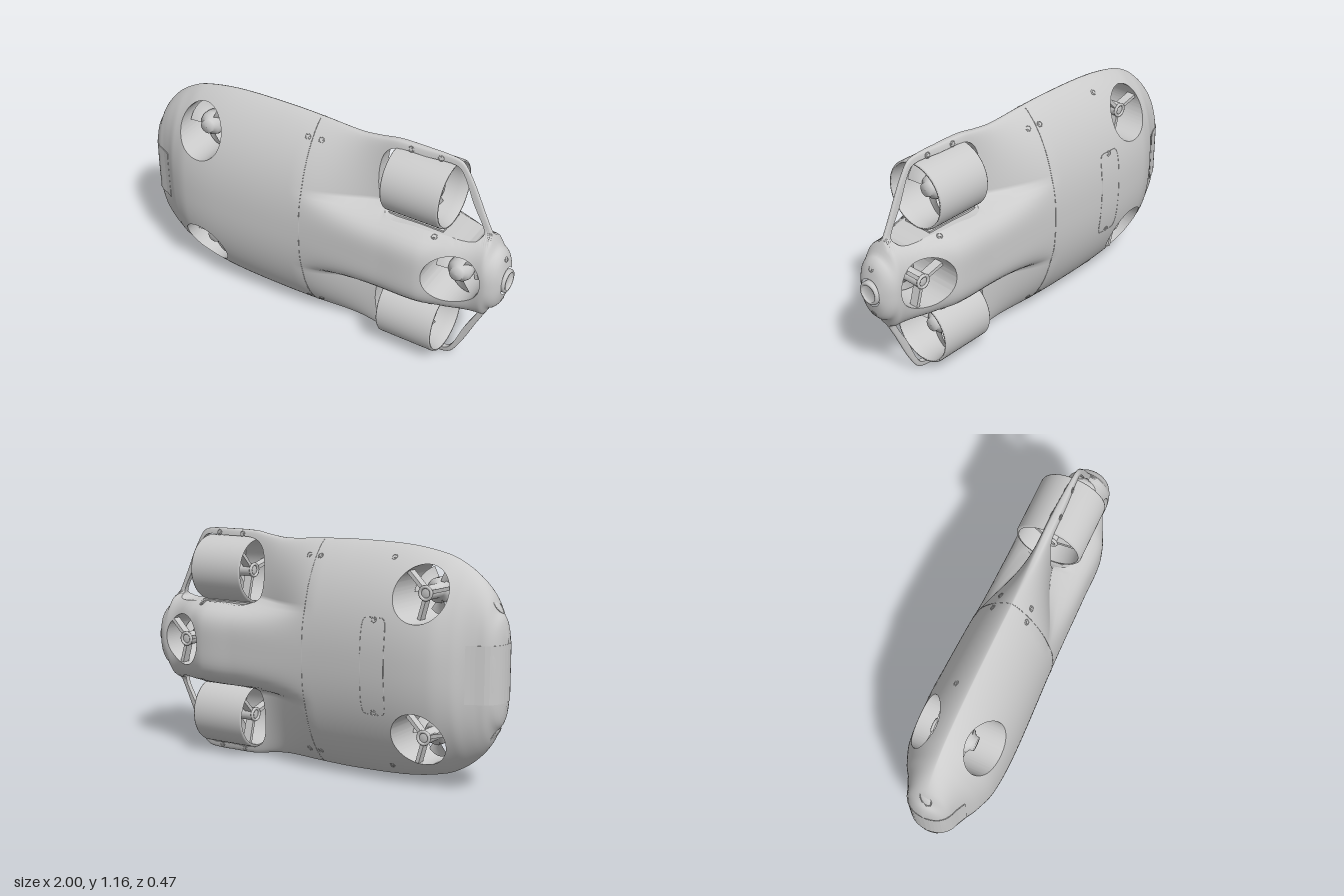
import * as THREE from 'three';
import { mergeVertices } from 'three/addons/utils/BufferGeometryUtils.js';

const CY = 0.58; // centre line height
const grey = new THREE.MeshStandardMaterial({ color: 0xcccccc });
const thin = new THREE.MeshStandardMaterial({ color: 0xcccccc, side: THREE.DoubleSide });
const V = (x, y, z) => new THREE.Vector3(x, y, z);
const V2 = ([x, y]) => new THREE.Vector2(x, y);
const { lerp, smoothstep, clamp } = THREE.MathUtils;

// Smooth curve through [x, value] pairs; squared values give rounded ends
function profile(pts) {
  const p = pts.map(([x, v]) => [x, v * v]), n = p.length - 1;
  const slope = (i) => {
    const a = p[Math.max(i - 1, 0)], b = p[Math.min(i + 1, n)];
    return (b[1] - a[1]) / (b[0] - a[0]);
  };
  return (x) => {
    let i = 0;
    while (i < n - 1 && x > p[i + 1][0]) i++;
    const w = p[i + 1][0] - p[i][0], t = (x - p[i][0]) / w, t2 = t * t, t3 = t2 * t;
    const v = (2 * t3 - 3 * t2 + 1) * p[i][1] + (t3 - 2 * t2 + t) * w * slope(i)
      + (3 * t2 - 2 * t3) * p[i + 1][1] + (t3 - t2) * w * slope(i + 1);
    return Math.sqrt(Math.max(v, 0));
  };
}
const halfHeight = profile([[-1, 0.15], [-0.985, 0.235], [-0.955, 0.285], [-0.93, 0.345], [-0.88, 0.41], [-0.8, 0.474],
  [-0.7, 0.52], [-0.5, 0.555], [-0.2, 0.565], [0, 0.56], [0.2, 0.55], [0.3, 0.56], [0.4, 0.577], [0.55, 0.58],
  [0.68, 0.578], [0.73, 0.56], [0.77, 0.5], [0.85, 0.33], [0.92, 0.185], [0.95, 0.158], [0.97, 0.13], [0.985, 0.07]]);
const halfDepth = profile([[-1, 0], [-0.99, 0.055], [-0.97, 0.09], [-0.94, 0.112], [-0.9, 0.128], [-0.85, 0.155], [-0.8, 0.188],
  [-0.7, 0.224], [-0.5, 0.236], [0, 0.218], [0.4, 0.208], [0.6, 0.206], [0.7, 0.172], [0.8, 0.13], [0.85, 0.115],
  [0.92, 0.113], [0.95, 0.1], [0.97, 0.08], [0.985, 0.055]]);

// Half thickness of the hull: an oval that turns into a spine with thin side rims
function hullZ(x, y) {
  const W = halfHeight(x), T = halfDepth(x), d = Math.abs(y - CY), u = Math.min(d / W, 1);
  const nose = 1 - smoothstep(x, -0.98, -0.75);
  const oval = T * (1 - u ** (2.3 + nose)) ** (0.75 - 0.25 * nose);
  const boxy = 4 - 1.5 * smoothstep(x, 0.72, 0.92);
  const spine = T * Math.sqrt(Math.max(0, 1 - (d / Math.min(0.225, W)) ** boxy));
  const rim = lerp(0.044, 0.017, smoothstep(x, 0.45, 0.82)) * (1 - u * u) ** 0.25;
  return lerp(oval, Math.hypot(spine, rim), smoothstep(x, -0.08, 0.4));
}

// Openings: three round tunnels and a rounded window around each duct
const tunnels = [[-0.63, CY + 0.345], [-0.63, CY - 0.335], [0.77, CY + 0.005]];
const windowLoop = new THREE.CatmullRomCurve3([[0.4, 0.79], [0.35, 0.82], [0.325, 0.88], [0.325, 1.03], [0.35, 1.09],
  [0.4, 1.12], [0.55, 1.125], [0.7, 1.125], [0.73, 1.1], [0.795, 0.95], [0.86, 0.81], [0.84, 0.785], [0.7, 0.788], [0.55, 0.79]]
  .map(([x, y]) => V(x, y - CY, 0)), true, 'centripetal').getPoints(56);

function clearance(x, y) { // positive where the hull is solid
  let f = Infinity;
  for (const [cx, cy] of tunnels) f = Math.min(f, Math.hypot(x - cx, y - cy) - 0.132);
  if (x < 0.25) return f;
  const d = Math.abs(y - CY);
  let dist = Infinity, inside = false;
  for (let i = 0; i < windowLoop.length - 1; i++) {
    const a = windowLoop[i], b = windowLoop[i + 1], ex = b.x - a.x, ey = b.y - a.y;
    const t = clamp(((x - a.x) * ex + (d - a.y) * ey) / (ex * ex + ey * ey || 1), 0, 1);
    dist = Math.min(dist, Math.hypot(x - a.x - t * ex, d - a.y - t * ey));
    if ((a.y > d) !== (b.y > d) && x < a.x + ((d - a.y) / ey) * ex) inside = !inside;
  }
  return Math.min(f, inside ? -dist : dist);
}

function smoothGeometry(pos) {
  let g = new THREE.BufferGeometry();
  g.setAttribute('position', new THREE.Float32BufferAttribute(pos, 3));
  g = mergeVertices(g, 1e-4);
  g.computeVertexNormals();
  return g;
}

// Hull skin as section loops, trimmed at the openings, and the walls joining both sides
function buildHull() {
  const NX = 170, NT = 80, grid = [], skin = [], walls = [];
  for (let i = 0; i <= NX; i++) {
    const t = i / NX, x = -0.0075 + 0.9925 * (0.65 * (2 * t - 1) - 0.35 * Math.cos(Math.PI * t));
    const row = [];
    for (let j = 0; j <= NT; j++) {
      const y = CY + halfHeight(x) * Math.cos((Math.PI * j) / NT);
      row.push({ x, y, z: j % NT ? hullZ(x, y) : 0, f: clearance(x, y) });
    }
    grid.push(row);
  }
  const cross = (a, b) => {
    let lo = a.f > 0 ? a : b, hi = a.f > 0 ? b : a;
    for (let k = 0; k < 12; k++) {
      const x = (lo.x + hi.x) / 2, y = (lo.y + hi.y) / 2, m = { x, y, f: clearance(x, y) };
      if (m.f > 0) lo = m; else hi = m;
    }
    return { x: lo.x, y: lo.y, z: hullZ(lo.x, lo.y), f: 0 };
  };
  const add = (out, ...vs) => vs.forEach(([p, s]) => out.push(p.x, p.y, p.z * s));
  const clip = (tri) => {
    const poly = [], cut = [];
    tri.forEach((a, k) => {
      const b = tri[(k + 1) % 3];
      if (a.f > 0) poly.push(a);
      if ((a.f > 0) !== (b.f > 0)) { const c = cross(a, b); poly.push(c); cut[a.f > 0 ? 0 : 1] = c; }
    });
    for (let k = 1; k < poly.length - 1; k++) {
      add(skin, [poly[0], 1], [poly[k], 1], [poly[k + 1], 1]);
      add(skin, [poly[0], -1], [poly[k + 1], -1], [poly[k], -1]);
    }
    if (cut.length) {
      const [p, q] = cut;
      add(walls, [q, 1], [p, 1], [p, -1], [q, 1], [p, -1], [q, -1]);
    }
  };
  for (let i = 0; i < NX; i++) for (let j = 0; j < NT; j++) {
    const a = grid[i][j], b = grid[i][j + 1], c = grid[i + 1][j + 1], d = grid[i + 1][j];
    clip([a, b, c]);
    clip([a, c, d]);
  }
  return [smoothGeometry(skin), smoothGeometry(walls)];
}

function part(parent, name, geo, mat = grey, pos = [0, 0, 0], rot = [0, 0, 0]) {
  const m = new THREE.Mesh(geo, mat);
  m.name = name;
  m.position.set(...pos);
  m.rotation.set(...rot);
  parent.add(m);
  return m;
}

// Motor, propeller and struts along local z, dome towards +z
function thruster(name, radius) {
  const g = new THREE.Group(), H = Math.PI / 2;
  g.name = name;
  const hub = [[0, -0.125], [0.03, -0.125], [0.034, -0.115], [0.034, 0], [0.06, 0], [0.062, 0.035], [0.055, 0.055], [0.036, 0.068],
    [0.034, 0.085], [0, 0.088]].map(V2);
  part(g, 'motorHub', new THREE.LatheGeometry(hub, 32), thin, [0, 0, 0], [H, 0, 0]);
  for (let k = 0; k < 3; k++) {
    const a = (k * Math.PI * 2) / 3 + 0.5;
    const blade = new THREE.RingGeometry(0.05, radius, 12, 5, -0.62, 1.24);
    const p = blade.attributes.position;
    for (let i = 0; i < p.count; i++) p.setZ(i, 0.02 + 0.06 * Math.atan2(p.getY(i), p.getX(i)));
    blade.computeVertexNormals();
    part(g, 'propellerBlade', blade, thin, [0, 0, 0], [0, 0, a]);
    const r = (radius + 0.04) / 2;
    part(g, 'motorStrut', new THREE.BoxGeometry(radius - 0.015, 0.018, 0.045), grey,
      [r * Math.cos(a + 0.3), r * Math.sin(a + 0.3), -0.1], [0, 0, a + 0.3]);
  }
  part(g, 'motorEndRing', new THREE.TorusGeometry(0.03, 0.008, 8, 24), grey, [0, 0, -0.125]);
  return g;
}

// Flush ring with a sunken head, set along the given normal
function screw(parent, pos, normal) {
  const g = new THREE.Group();
  g.name = 'screw';
  part(g, 'screwRing', new THREE.TorusGeometry(0.013, 0.002, 6, 20));
  part(g, 'screwHead', new THREE.CylinderGeometry(0.007, 0.007, 0.004, 6), grey, [0, 0, 0], [Math.PI / 2, 0, 0]);
  g.position.copy(pos);
  g.quaternion.setFromUnitVectors(V(0, 0, 1), normal.normalize());
  parent.add(g);
}
function hullScrew(parent, x, y, side) {
  const e = 0.004, z = hullZ(x, y);
  screw(parent, V(x, y, side * z), V((hullZ(x - e, y) - hullZ(x + e, y)) / (2 * e),
    (hullZ(x, y - e) - hullZ(x, y + e)) / (2 * e), side));
}
const surfaceLine = (parent, name, pts) => part(parent, name,
  new THREE.TubeGeometry(new THREE.CatmullRomCurve3(pts, true), 128, 0.0015, 5, true));

export function createModel() {
  const model = new THREE.Group(), H = Math.PI / 2;
  const [skin, walls] = buildHull();
  part(model, 'hull', skin);
  part(model, 'openingWalls', walls, thin);

  // Thrusters across the hull
  tunnels.forEach(([x, y]) => {
    const t = thruster('tunnelThruster', 0.118);
    t.position.set(x, y, x > 0 ? 0.01 : 0.02);
    model.add(t);
  });

  // Rear ducts with their thrusters and mounts
  const duct = [[0.155, -0.15], [0.162, -0.15], [0.168, -0.143], [0.168, 0.143], [0.165, 0.15], [0.157, 0.15], [0.152, 0.1],
    [0.152, -0.1], [0.155, -0.15]].map(V2);
  for (const s of [1, -1]) {
    const y = CY + s * 0.375;
    part(model, 'duct', new THREE.LatheGeometry(duct, 64), thin, [0.54, y, 0], [0, 0, -H]);
    const t = thruster('ductThruster', 0.148);
    t.position.set(0.54, y, 0);
    t.rotation.y = H;
    model.add(t);
    part(model, 'ductMount', new THREE.BoxGeometry(0.29, 0.03, 0.16), grey, [0.54, CY + s * 0.202, 0]);
    // Nose lamps
    const lamp = new THREE.Group();
    lamp.name = 'noseLamp';
    part(lamp, 'lampRim', new THREE.TorusGeometry(0.042, 0.004, 8, 32));
    part(lamp, 'lampLens', new THREE.SphereGeometry(0.04, 24, 12)).scale.z = 0.15;
    lamp.position.set(-0.945, CY + s * 0.3, 0);
    lamp.quaternion.setFromUnitVectors(V(0, 0, 1), V(-0.87, s * 0.49, 0).normalize());
    lamp.scale.x = 0.6;
    model.add(lamp);
    // Screws on both faces
    for (const side of [1, -1]) {
      for (const x of [-0.045, 0.025]) hullScrew(model, x, CY + s * 0.483, side);
      for (const x of [0.47, 0.62]) hullScrew(model, x, CY + s * 0.558, side);
      hullScrew(model, 0.66, CY + s * 0.2, side);
    }
    hullScrew(model, -0.45, CY + s * 0.5, -1);
    hullScrew(model, -0.42, CY + s * 0.22, -1);
    screw(model, V(0.973, CY + s * 0.12, 0), V(1, s * 0.5, 0));
  }

  // Curved nose window
  const edge = [-1, -0.998, -0.994, -0.988, -0.98, -0.96, -0.94, -0.92, -0.9, -0.88, -0.86].map((x) => [x, halfDepth(x) + 0.001]);
  const outline = [...edge, ...edge.slice(1).reverse().map(([x, z]) => [x, -z])].map(V2);
  part(model, 'noseWindow', new THREE.ExtrudeGeometry(new THREE.Shape(outline), { depth: 0.27, bevelEnabled: false }),
    grey, [0, CY + 0.13, 0], [H, 0, 0]);

  // Tail connector
  const port = [[0, -0.03], [0.058, -0.03], [0.058, 0.022], [0.053, 0.03], [0.043, 0.03], [0.043, 0.015], [0, 0.015]].map(V2);
  part(model, 'tailConnector', new THREE.LatheGeometry(port, 40), thin, [0.97, CY, 0], [0, 0, -H]);

  // Joint line around the hull and hatch outline on the back
  const seam = [], hatch = [];
  for (let k = 0; k < 64; k++) {
    const a = (k / 64) * Math.PI * 2, c = Math.cos(a), sn = Math.sin(a), y = CY + halfHeight(-0.02) * c;
    seam.push(V(-0.02, y, Math.sign(sn) * hullZ(-0.02, y)));
    const hx = -0.42 + 0.065 * Math.sign(c) * Math.abs(c) ** 0.25, hy = CY + 0.23 * Math.sign(sn) * Math.abs(sn) ** 0.25;
    hatch.push(V(hx, hy, -hullZ(hx, hy)));
  }
  surfaceLine(model, 'hullSeam', seam);
  surfaceLine(model, 'hatchOutline', hatch);
  return model;
}
